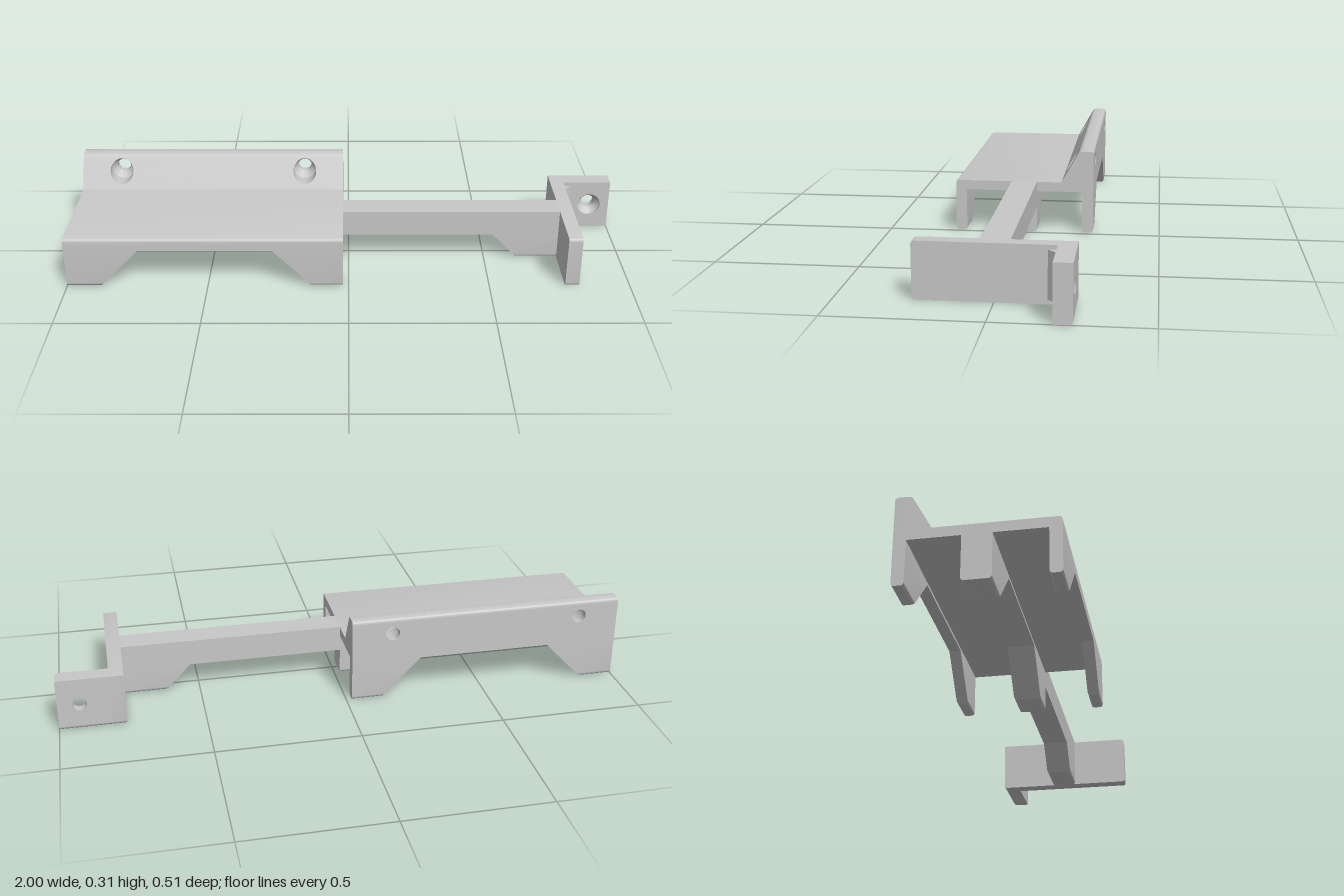
import * as THREE from 'three';
import { toCreasedNormals } from 'three/addons/utils/BufferGeometryUtils.js';

const R = 0.012; // edge rounding
const HEAD = 0.043, BORE = 0.025; // screw hole radii

export function createModel() {
  const group = new THREE.Group();
  const grey = new THREE.MeshStandardMaterial({ color: 0xc8c8c8 });
  grey.name = 'light grey plastic';

  const add = (name, geo) => {
    const mesh = new THREE.Mesh(toCreasedNormals(geo, 0.5), grey);
    mesh.name = name;
    group.add(mesh);
  };

  // Bar along x with a z-y section; each corner is [z, y, rounded?]
  const alongX = (corners, x0, x1) => {
    const pts = corners.map(([z, y]) => new THREE.Vector2(-z, y));
    const n = pts.length;
    const shape = new THREE.Shape();
    pts.forEach((p, i) => {
      const toward = (q) => p.clone().add(q.clone().sub(p).setLength(R));
      const a = corners[i][2] ? toward(pts[(i + n - 1) % n]) : p;
      if (i === 0) shape.moveTo(a.x, a.y);
      else shape.lineTo(a.x, a.y);
      if (corners[i][2]) {
        const b = toward(pts[(i + 1) % n]);
        shape.quadraticCurveTo(p.x, p.y, b.x, b.y);
      }
    });
    shape.closePath();
    const geo = new THREE.ExtrudeGeometry(shape, { depth: x1 - x0, bevelEnabled: false, curveSegments: 5 });
    return geo.rotateY(Math.PI / 2).translate(x0, 0, 0);
  };

  // Plain rectangular bar
  const bar = (x0, x1, y0, y1, z0, z1) => alongX([[z0, y0], [z0, y1], [z1, y1], [z1, y0]], x0, x1);

  // Foot with rounded lower edges, upright at x = outer and sloped at x = inner
  const foot = (outer, inner, top, z0, z1) => {
    const section = [[z0, 0, true], [z0, top], [z1, top], [z1, 0, true]];
    const geo = alongX(section, Math.min(outer, inner), Math.max(outer, inner));
    const pos = geo.attributes.position;
    const lean = Math.sign(inner - outer) * 0.97;
    for (let i = 0; i < pos.count; i++) {
      if (Math.abs(pos.getX(i) - inner) < 1e-4) pos.setX(i, inner + lean * pos.getY(i));
    }
    return geo;
  };

  // Block with countersunk holes along z; front(y) gives the z of its front face
  const drilled = (x0, x1, y0, y1, zBack, zCone, zHead, front, holes) => {
    const shape = new THREE.Shape([[x0, y0], [x1, y0], [x1, y1], [x0, y1]].map((p) => new THREE.Vector2(...p)));
    for (const [hx, hy] of holes) {
      shape.holes.push(new THREE.Path().absarc(hx, hy, HEAD, 0, Math.PI * 2, true));
    }
    const geo = new THREE.ExtrudeGeometry(shape, { depth: 3, steps: 3, bevelEnabled: false, curveSegments: 32 });
    const pos = geo.attributes.position;
    for (let i = 0; i < pos.count; i++) {
      let x = pos.getX(i), y = pos.getY(i);
      const layer = Math.round(pos.getZ(i));
      const hole = holes.find(([hx, hy]) => Math.hypot(x - hx, y - hy) < HEAD + 1e-4);
      if (hole && layer < 2) {
        x = hole[0] + (x - hole[0]) * BORE / HEAD;
        y = hole[1] + (y - hole[1]) * BORE / HEAD;
      }
      pos.setXYZ(i, x, y, [zBack, zCone, zHead, front(y)][layer]);
    }
    return geo;
  };

  // Shelf plate: right end, left end, top, underside, rib underside, half depth
  const L = -1, E = -0.02, T = 0.188, S = 0.153, U = 0.143, B = 0.255;
  add('shelfPlate', alongX([[-B, S], [-B, T], [B, T, true], [B, S]], L, E));

  // Sloped back rail with two screw holes and a rounded top
  const ramp = (y) => -0.138 - (y - T) * 0.555;
  const railTop = 0.293;
  add('backRail', drilled(L, E, T, railTop, -B, -0.23, -0.205, ramp, [[-0.855, 0.248], [-0.165, 0.248]]));
  add('backRailTop', alongX([[-B, railTop], [-B, 0.305, true], [ramp(0.305), 0.305, true], [ramp(railTop), railTop]], L, E));

  // Three ribs under the shelf, each with a foot at both ends
  for (const [name, z0, z1] of [['back', -B, -0.215], ['middle', -0.047, 0.047], ['front', 0.215, B]]) {
    add(name + 'Rib', bar(L, E, U, S, z0, z1));
    add(name + 'RightFoot', foot(L, -0.88, U, z0, z1));
    add(name + 'LeftFoot', foot(E, -0.13, U, z0, z1));
  }

  // Connecting arm with a sloped foot at its far end
  add('connectingArm', bar(E, 0.77, 0.094, T, -0.047, 0.047));
  add('armFoot', foot(0.77, 0.62, 0.094, -0.047, 0.047));

  // Cross plate at the end of the arm
  add('endPlate', alongX([[-B, 0, true], [-B, T], [B, T, true], [B, 0, true]], 0.77, 0.82));

  // Screw flange with a rounded lower back edge
  add('flange', drilled(0.82, 1, R, T, -B, -0.225, -0.205, () => -0.195, [[0.925, 0.095]]));
  add('flangeBase', alongX([[-B, 0, true], [-B, R + 1e-4], [-0.195, R], [-0.195, 0]], 0.82, 1));

  // Corner gusset between plate and flange
  const gusset = new THREE.Shape([[0.82, 0.195], [0.85, 0.195], [0.82, 0.165]].map((p) => new THREE.Vector2(...p)));
  add('gusset', new THREE.ExtrudeGeometry(gusset, { depth: 0.158, bevelEnabled: false })
    .rotateX(-Math.PI / 2).translate(0, 0.015, 0));

  return group;
}
